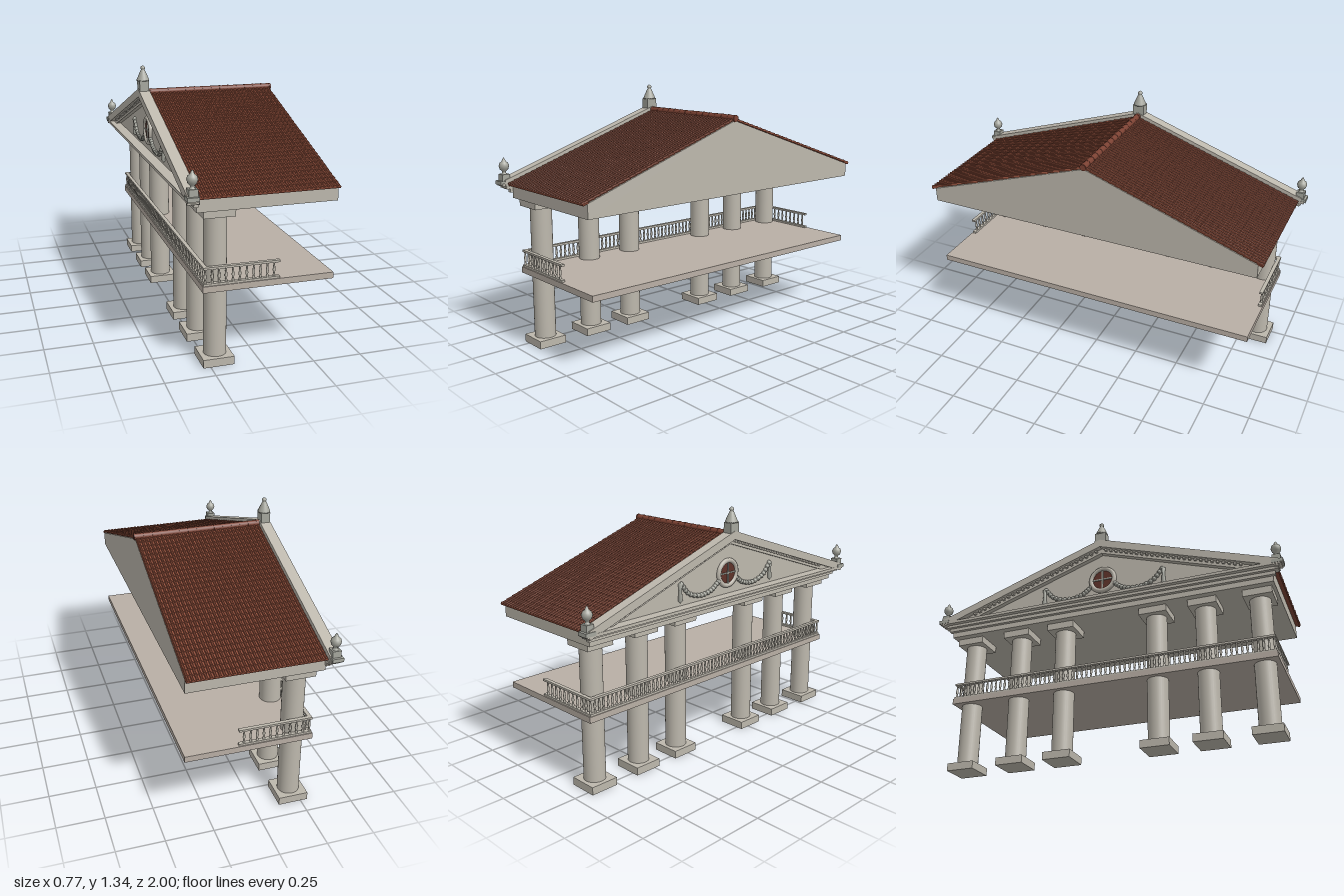
import * as THREE from 'three';

const mat = (name, color) => {
  const m = new THREE.MeshStandardMaterial({ color });
  m.name = name;
  return m;
};

export function createModel() {
  const model = new THREE.Group();
  model.name = 'porticoRoof';
  const stone = mat('stone', 0xbdb8ad);
  const floorStone = mat('floorStone', 0xb9afa5);
  const ornament = mat('ornamentStone', 0xa6a79e);
  const tile = mat('terracotta', 0x92503c);
  const ridgeTile = mat('darkTerracotta', 0x7c4233);
  const glass = mat('maroonPane', 0x5e3229);

  const add = (name, geo, m, x = 0, y = 0, z = 0, parent = model) => {
    const mesh = new THREE.Mesh(geo, m);
    mesh.name = name;
    mesh.position.set(x, y, z);
    parent.add(mesh);
    return mesh;
  };
  // box given by its limits on each axis
  const block = (name, m, x0, x1, y0, y1, z0, z1) =>
    add(name, new THREE.BoxGeometry(x1 - x0, y1 - y0, z1 - z0), m, (x0 + x1) / 2, (y0 + y1) / 2, (z0 + z1) / 2);
  // outline in (z, y), extruded along x
  const prism = (name, m, pts, x0, x1) => {
    const geo = new THREE.ExtrudeGeometry(new THREE.Shape(pts.map(p => new THREE.Vector2(...p))),
      { depth: x1 - x0, bevelEnabled: false });
    geo.rotateY(Math.PI / 2);
    return add(name, geo, m, x0);
  };
  const lathe = pts => new THREE.LatheGeometry(pts.map(p => new THREE.Vector2(...p)), 20);

  // Columns with square bases and capitals
  const shaft = new THREE.CylinderGeometry(0.057, 0.057, 0.71, 32);
  for (const z of [-0.84, -0.545, -0.27, 0.27, 0.545, 0.84]) {
    add('columnShaft', shaft, stone, -0.208, 0.395, z);
    block('columnBase', stone, -0.287, -0.13, 0, 0.042, z - 0.078, z + 0.078);
    block('columnCapital', stone, -0.287, -0.13, 0.752, 0.79, z - 0.078, z + 0.078);
  }

  // Balcony floor and railing
  block('balconyFloor', floorStone, -0.29, 0.375, 0.388, 0.42, -0.92, 0.92);
  const baluster = lathe([[0.006, 0], [0.006, 0.01], [0.004, 0.016], [0.007, 0.032], [0.004, 0.06], [0.006, 0.072]]);
  for (const [y0, y1] of [[0.42, 0.431], [0.501, 0.512]]) {
    block('frontRail', stone, -0.286, -0.266, y0, y1, -0.915, 0.915);
    for (const s of [-1, 1])
      block('sideRail', stone, -0.286, 0.097, y0, y1, s * 0.905 - 0.01, s * 0.905 + 0.01);
  }
  for (let i = 0; i <= 66; i++) add('baluster', baluster, stone, -0.276, 0.43, -0.905 + i * 1.81 / 66);
  for (const s of [-1, 1])
    for (let i = 1; i <= 10; i++) add('baluster', baluster, stone, -0.276 + i * 0.0345, 0.43, s * 0.905);

  // Solid gable body
  prism('gableBody', stone, [[-0.935, 0.79], [0.935, 0.79], [0.935, 0.866], [0, 1.186], [-0.935, 0.866]], -0.325, 0.375);

  // Horizontal cornice in steps
  block('corniceTop', stone, -0.383, -0.325, 0.854, 0.87, -0.99, 0.99);
  block('corniceMiddle', stone, -0.36, -0.32, 0.839, 0.854, -0.97, 0.97);
  block('corniceLower', stone, -0.343, -0.32, 0.82, 0.839, -0.95, 0.95);

  // Raking cornice, its inner moulding and dentils
  const slope = 0.338;
  const chevron = (top, t, w) => [[-w, top - slope * w - t], [0, top - t], [w, top - slope * w - t],
    [w, top - slope * w], [0, top], [-w, top - slope * w]];
  prism('rakingCornice', stone, chevron(1.217, 0.045, 0.975), -0.381, -0.323);
  prism('rakingMoulding', stone, chevron(1.175, 0.03, 0.9), -0.352, -0.323);
  const dentil = new THREE.BoxGeometry(0.014, 0.014, 0.014);
  for (let i = 1; i <= 26; i++)
    for (const s of [-1, 1])
      add('dentil', dentil, stone, -0.358, 1.167 - slope * i * 0.03, s * i * 0.03).rotation.x = s * 0.326;

  // Round window in the pediment
  const round = new THREE.CylinderGeometry(0.066, 0.066, 0.008, 36).rotateZ(Math.PI / 2);
  add('windowPane', round, glass, -0.328, 0.985, 0);
  add('windowRing', new THREE.TorusGeometry(0.068, 0.013, 10, 40).rotateY(Math.PI / 2), stone, -0.33, 0.985, 0);
  block('windowBar', ornament, -0.337, -0.33, 0.92, 1.05, -0.004, 0.004);
  block('windowBar', ornament, -0.337, -0.33, 0.981, 0.989, -0.065, 0.065);

  // Garlands with hanging ends
  for (const s of [-1, 1]) {
    const path = new THREE.CatmullRomCurve3([[0.07, 0.95], [0.12, 0.915], [0.2, 0.9], [0.29, 0.925], [0.345, 0.985]]
      .map(([z, y]) => new THREE.Vector3(-0.33, y, s * z)));
    add('garland', new THREE.TubeGeometry(path, 28, 0.009, 8), ornament);
    const bead = new THREE.SphereGeometry(0.013, 10, 8);
    for (let i = 0; i <= 14; i++) {
      const p = path.getPoint(i / 14);
      add('garlandLeaf', bead, ornament, p.x, p.y, p.z);
    }
    add('garlandDrop', lathe([[0, -0.1], [0.013, -0.085], [0.008, -0.03], [0.013, 0], [0, 0.012]]),
      ornament, -0.33, 0.985, s * 0.352);
  }

  // Roof tiles: one ribbed course, repeated down each slope
  const columns = 32, rows = 28, width = 0.7, pitch = 1.012 / rows, step = width / columns;
  const rib = new THREE.Shape();
  rib.moveTo(-width / 2, 0);
  for (let c = 0; c < columns; c++) {
    const x = -width / 2 + c * step;
    rib.lineTo(x, 0.004);
    for (let k = 0; k <= 4; k++) {
      const a = Math.PI * (1 - k / 4);
      rib.lineTo(x + step * 0.5 + Math.cos(a) * step * 0.33, 0.004 + Math.sin(a) * 0.008);
    }
  }
  rib.lineTo(width / 2, 0.004);
  rib.lineTo(width / 2, 0);
  const course = new THREE.ExtrudeGeometry(rib, { depth: pitch * 1.08, bevelEnabled: false });
  for (const s of [0, 1]) {
    const side = new THREE.Group();
    side.name = 'roofSlope';
    side.position.set(0.025, 1.187, 0);
    side.rotation.y = s * Math.PI;
    const plane = new THREE.Group();
    plane.name = 'tileCourses';
    plane.rotation.x = Math.atan(0.341);
    side.add(plane);
    for (let r = 0; r < rows; r++) add('tileCourse', course, tile, 0, 0, r * pitch, plane).rotation.x = -0.1;
    add('eaveStrip', new THREE.BoxGeometry(width, 0.008, 0.03), ridgeTile, 0, 0.001, 0.998, plane);
    model.add(side);
  }

  // Ridge cap
  add('ridgeCap', new THREE.CylinderGeometry(0.017, 0.017, 0.706, 16).rotateZ(Math.PI / 2), ridgeTile, 0.03, 1.198, 0);
  const collar = new THREE.CylinderGeometry(0.0185, 0.0185, 0.008, 16).rotateZ(Math.PI / 2);
  for (let i = 0; i <= 14; i++) add('ridgeCollar', collar, ridgeTile, -0.31 + i * 0.049, 1.198, 0);

  // Apex finial
  block('apexPlinth', ornament, -0.378, -0.328, 1.18, 1.262, -0.032, 0.032);
  add('apexSpire', lathe([[0, 0], [0.034, 0], [0.034, 0.006], [0.012, 0.056], [0.008, 0.06], [0.013, 0.066],
    [0.013, 0.072], [0.007, 0.079], [0, 0.082]]), ornament, -0.353, 1.26, 0);

  // Corner urns
  const urn = lathe([[0.018, 0], [0.01, 0.008], [0.01, 0.016], [0.022, 0.028], [0.027, 0.045], [0.022, 0.06],
    [0.01, 0.07], [0.008, 0.078], [0, 0.09]]);
  for (const s of [-1, 1]) {
    const z = s * 0.965;
    block('urnFoot', ornament, -0.385, -0.327, 0.862, 0.882, s * 0.97 - 0.03, s * 0.97 + 0.03);
    block('urnPlinth', ornament, -0.375, -0.331, 0.87, 0.916, z - 0.022, z + 0.022);
    add('cornerUrn', urn, ornament, -0.353, 0.914, z);
  }
  return model;
}
